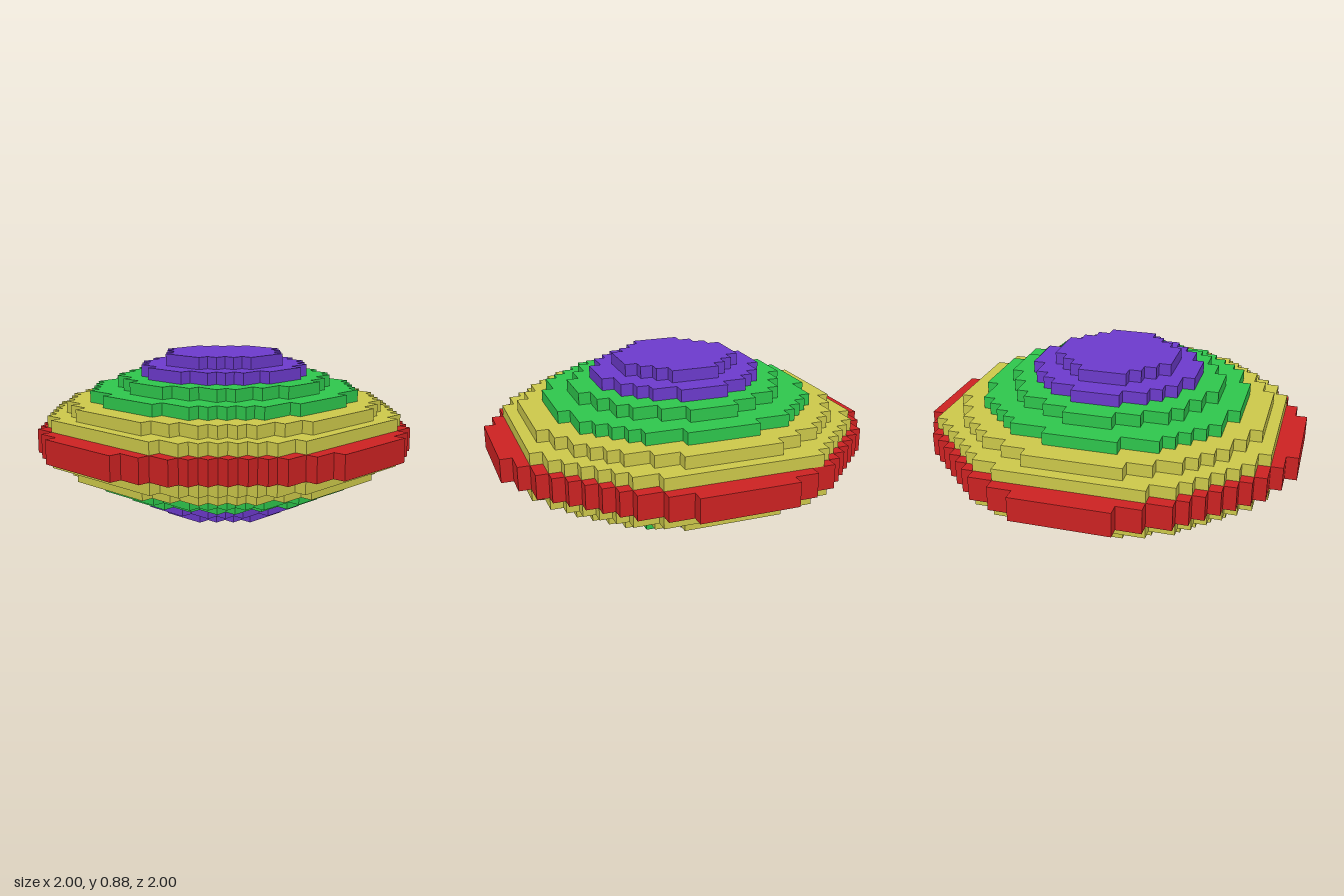
import * as THREE from 'three';

const U = 0.0625; // one block

const material = (name, color) => {
  const m = new THREE.MeshStandardMaterial({ color });
  m.name = name;
  return m;
};

// Stepped disc: runs are [half width, number of rows] from the middle row outwards
function steppedDisc(runs, height) {
  const quarter = [];
  let row = 0;
  for (const [half, rows] of runs) {
    if (row > 0) quarter.push([half, row]);
    row += rows;
    quarter.push([half, row]);
  }
  const back = [...quarter].reverse();
  const outline = [
    ...quarter,
    ...back.map(([x, y]) => [-x, y]),
    ...quarter.map(([x, y]) => [-x, -y]),
    ...back.map(([x, y]) => [x, -y]),
  ].map(([x, y]) => new THREE.Vector2(x * U, y * U));
  const geometry = new THREE.ExtrudeGeometry(new THREE.Shape(outline), { depth: height * U, bevelEnabled: false });
  return geometry.rotateX(-Math.PI / 2);
}

export function createModel() {
  const group = new THREE.Group();
  const red = material('red', 0xcc2222);
  const yellow = material('yellow', 0xccc84a);
  const green = material('green', 0x2ec64c);
  const purple = material('purple', 0x6c3acc);

  const add = (name, geometry, mat, x, y, z) => {
    const mesh = new THREE.Mesh(geometry, mat);
    mesh.name = name;
    mesh.position.set(x * U, y * U, z * U);
    group.add(mesh);
  };

  // Rim, two blocks tall
  const rim = [[16, 4], [15, 2], [14, 2], [13, 1], [12, 1], [11, 1], [10, 1], [9, 1], [8, 1], [6, 1], [4, 1]];
  add('rim', steppedDisc(rim, 2), red, 0, 6, 0);

  // Tiers from the rim outwards, mirrored above and below
  const tiers = [
    ['outerYellowTier', yellow, [[14, 6], [13, 2], [12, 1], [11, 1], [10, 1], [9, 1], [8, 1], [6, 1]]],
    ['innerYellowTier', yellow, [[13, 4], [12, 2], [11, 2], [10, 1], [9, 1], [8, 1], [6, 1], [4, 1]]],
    ['outerGreenTier', green, [[11, 3], [10, 3], [9, 1], [8, 1], [7, 1], [6, 1], [3, 1]]],
    ['innerGreenTier', green, [[9, 2], [8, 2], [7, 2], [6, 1], [4, 1], [2, 1]]],
    ['outerPurpleTier', purple, [[7, 2], [6, 2], [5, 1], [4, 1], [2, 1]]],
    ['purpleCap', purple, [[5, 2], [4, 1], [3, 1], [2, 1]]],
  ];
  tiers.forEach(([name, mat, runs], i) => {
    const geometry = steppedDisc(runs, 1);
    add(name + 'Top', geometry, mat, 0, 8 + i, 0);
    add(name + 'Bottom', geometry, mat, 0, 5 - i, 0);
  });

  // Single odd block at the back of the outer yellow tier
  add('oddBlock', new THREE.BoxGeometry(U, U, U), yellow, -6.5, 8.5, -13.5);

  return group;
}
